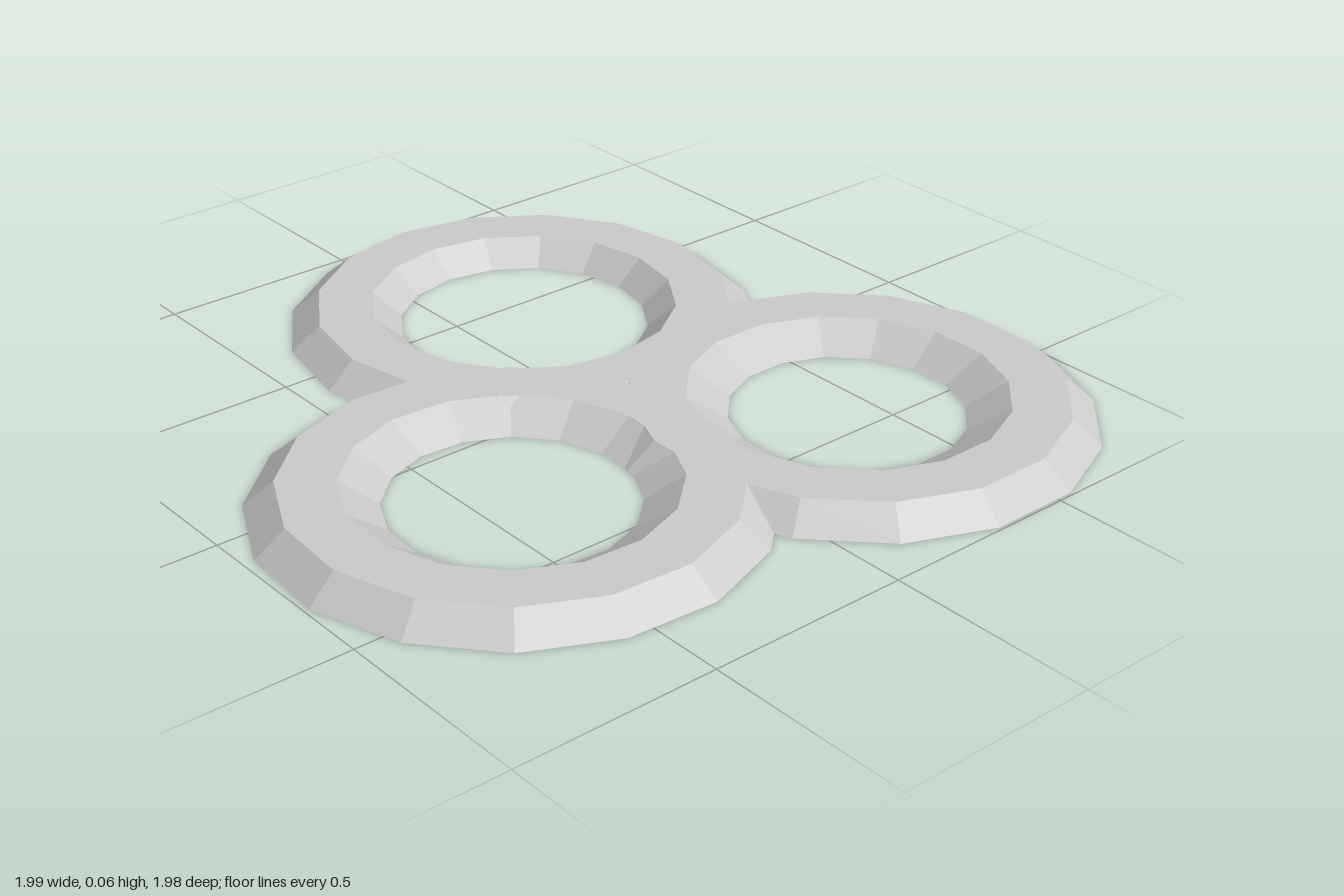
import * as THREE from 'three';

const HEIGHT = 0.06;
const SIDES = 16;

// One flat ring with bevelled outer wall and funnel-shaped hole
function makeRing({ name, x, z, turn, hole }, material) {
  const outerBottom = 0.58, outerTop = 0.51, innerTop = 0.375;
  const profile = [
    [outerBottom, 0],
    [outerTop, HEIGHT],
    [innerTop, HEIGHT],
    [hole, 0],
    [outerBottom, 0],
  ].map(([r, y]) => new THREE.Vector2(r, y));
  const geometry = new THREE.LatheGeometry(profile, SIDES, THREE.MathUtils.degToRad(turn));
  const ring = new THREE.Mesh(geometry, material);
  ring.name = name;
  ring.position.set(x, 0, z);
  return ring;
}

export function createModel() {
  const model = new THREE.Group();
  model.name = 'tripleRing';
  const material = new THREE.MeshStandardMaterial({ color: 0xcccccc, flatShading: true });

  // Three overlapping rings in a trefoil
  const rings = [
    { name: 'rightRing', x: -0.42, z: -0.147, turn: 0, hole: 0.306 },
    { name: 'backLeftRing', x: 0.423, z: -0.428, turn: 11.25, hole: 0.277 },
    { name: 'frontRing', x: 0.25, z: 0.413, turn: 7.5, hole: 0.285 },
  ];
  for (const ring of rings) model.add(makeRing(ring, material));
  return model;
}
